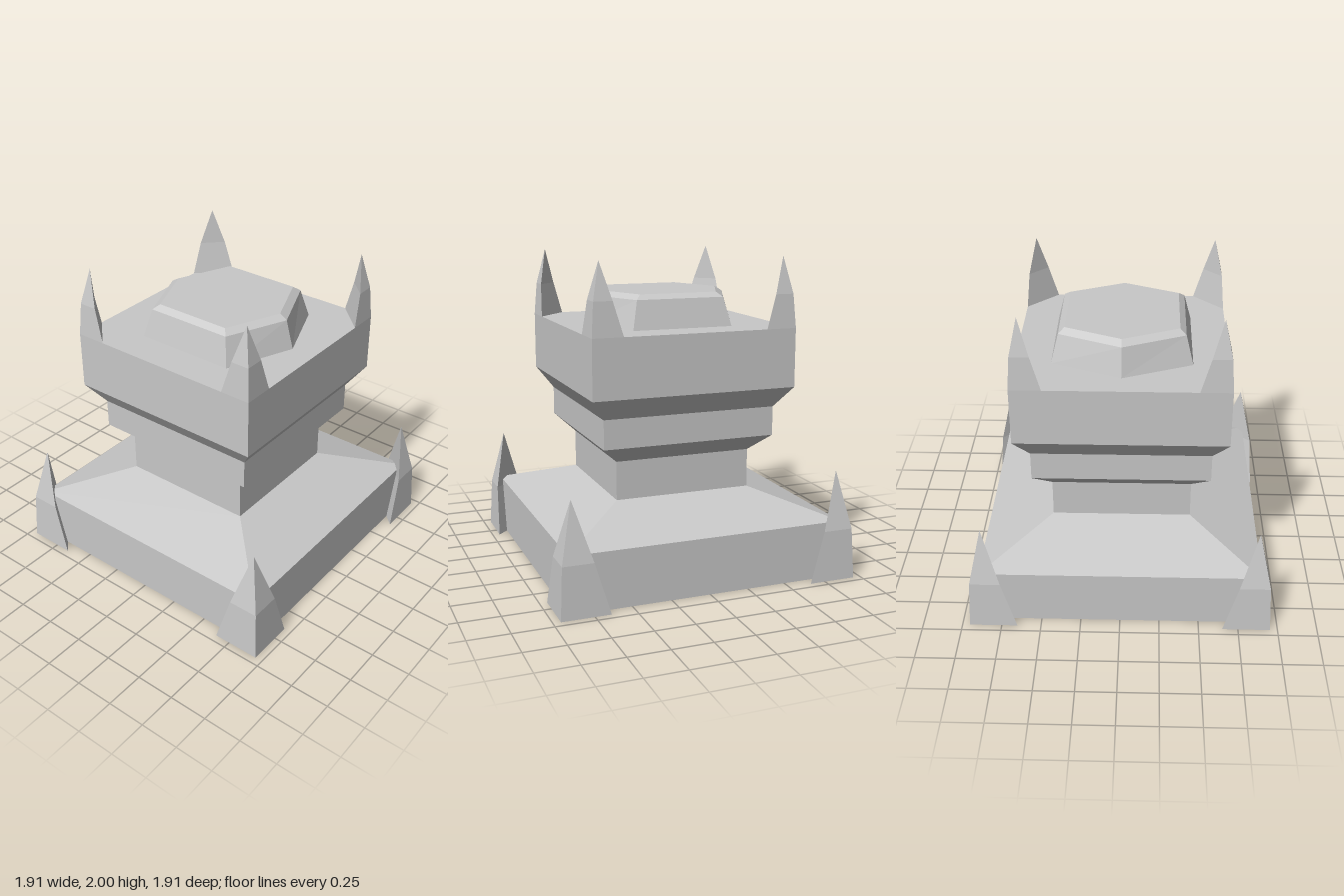
import * as THREE from 'three';

// Lofts rings of [x, z] corners (counter-clockwise from above) into a faceted shell, open below.
function loft(rings, capTop) {
  const pos = [];
  const tri = (a, b, c) => pos.push(...a, ...b, ...c);
  const levels = rings.map(({ y, pts }) => pts.map(([x, z]) => [x, y, z]));
  for (let k = 0; k < levels.length - 1; k++) {
    const lo = levels[k], hi = levels[k + 1], n = lo.length;
    for (let i = 0; i < n; i++) {
      const j = (i + 1) % n;
      if (hi.length === 1) {
        tri(lo[i], lo[j], hi[0]); // closes to a point
      } else {
        tri(lo[i], lo[j], hi[j]);
        tri(lo[i], hi[j], hi[i]);
      }
    }
  }
  if (capTop) {
    const top = levels[levels.length - 1];
    for (let i = 1; i < top.length - 1; i++) tri(top[0], top[i], top[i + 1]);
  }
  const g = new THREE.BufferGeometry();
  g.setAttribute('position', new THREE.Float32BufferAttribute(pos, 3));
  g.computeVertexNormals();
  return g;
}

const square = (r, y) => ({ y, pts: [[r, r], [r, -r], [-r, -r], [-r, r]] });
const hexagon = (r, cx, cz, y) => ({
  y, pts: [[r, 0], [cx, -cz], [-cx, -cz], [-r, 0], [-cx, cz], [cx, cz]],
});
// Corner triangle: outer corner at (c, c), legs of length w along both walls.
const corner = (c, w, y) => ({ y, pts: [[c, c], [c, c - w], [c - w, c]] });

export function createModel() {
  const stone = new THREE.MeshStandardMaterial({ color: 0xc8c8c8 });
  stone.name = 'grey stone';
  stone.side = THREE.DoubleSide;
  stone.flatShading = true;

  const model = new THREE.Group();
  model.name = 'squareTower';
  const add = (geometry, name) => {
    const mesh = new THREE.Mesh(geometry, stone);
    mesh.name = name;
    model.add(mesh);
    return mesh;
  };

  // Hollow stepped body: plinth, neck, collar and head
  add(loft([
    square(0.885, 0), square(0.885, 0.36), square(0.443, 0.515), square(0.443, 0.76),
    square(0.56, 0.87), square(0.56, 1.055), square(0.657, 1.19), square(0.657, 1.56),
  ], true), 'body');

  // Bevelled six-sided cap on the roof
  add(loft([
    hexagon(0.5, 0.325, 0.433, 1.56),
    hexagon(0.45, 0.285, 0.388, 1.74),
    hexagon(0.4, 0.252, 0.35, 1.77),
  ], true), 'roofCap');

  // Curved spikes on the four corners of the plinth and the head
  const baseSpike = loft([
    corner(0.953, 0.303, 0), corner(0.937, 0.192, 0.32), { y: 0.685, pts: [[0.857, 0.857]] },
  ]);
  const headSpike = loft([
    corner(0.657, 0.195, 1.56), corner(0.642, 0.118, 1.77), { y: 2, pts: [[0.592, 0.592]] },
  ]);
  for (let i = 0; i < 4; i++) {
    add(baseSpike, 'baseSpike').rotation.y = i * Math.PI / 2;
    add(headSpike, 'headSpike').rotation.y = i * Math.PI / 2;
  }
  return model;
}
